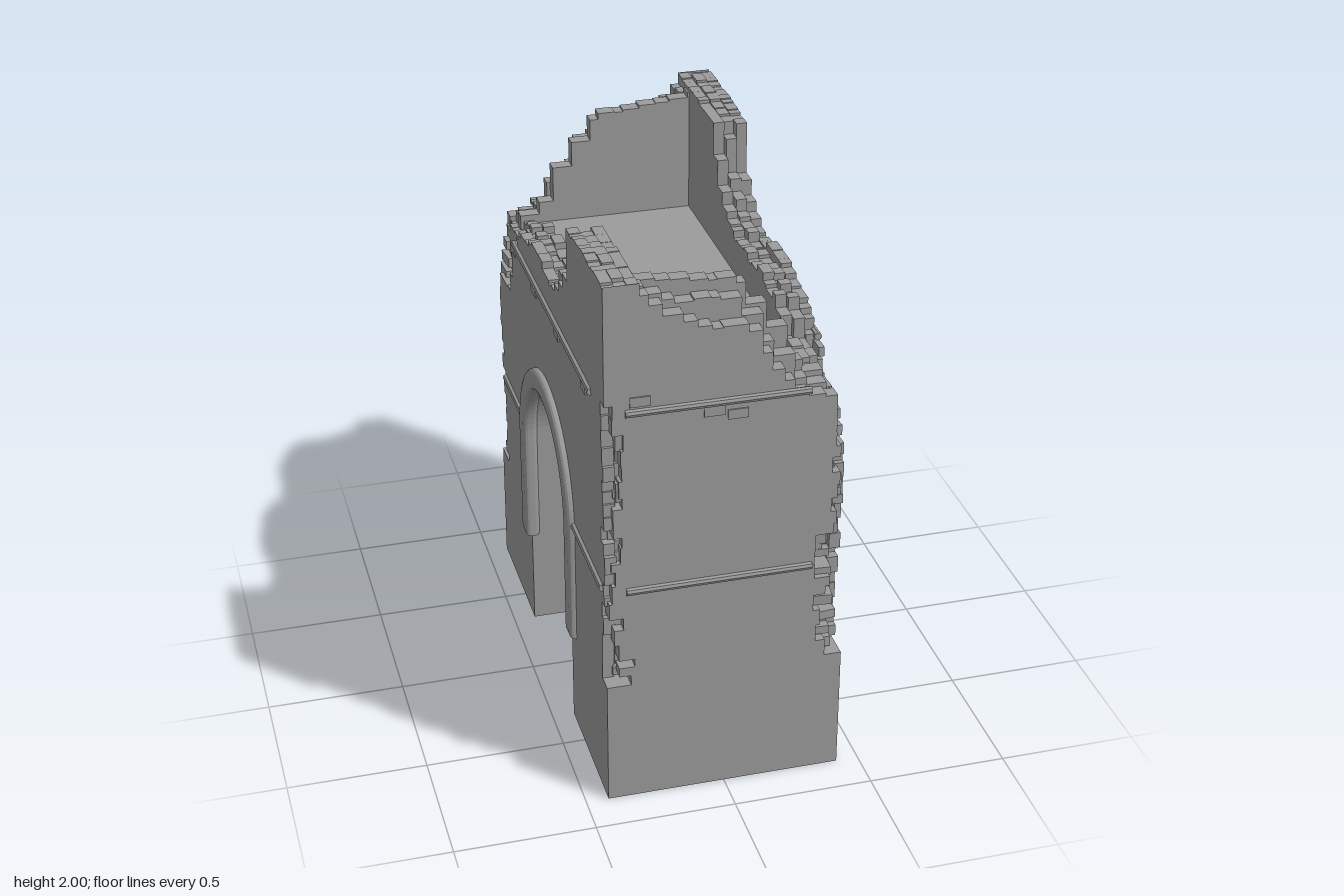
import * as THREE from 'three';

const W = 0.42, L = 0.855;            // half width (x) and half length (z)
const IW = 0.3, IL = 0.7;             // inner faces of the walls
const R = 0.33, SPRING = 0.82;        // arch opening
const BASE = 0.47, FLOOR = 1.51;
const mat = new THREE.MeshStandardMaterial({ color: 0x9b9b9b, side: THREE.DoubleSide, flatShading: true });

let seed = 7;
const rnd = (a = 0, b = 1) => {
  seed = (seed * 16807) % 2147483647;
  return a + (b - a) * (seed / 2147483647);
};

// piecewise linear profile through [u, y] points
function profile(pts) {
  return (u) => {
    for (let i = 1; i < pts.length; i++) {
      const [a, ya] = pts[i - 1], [b, yb] = pts[i];
      if (u <= b) return ya + (yb - ya) * Math.max(0, (u - a) / (b - a));
    }
    return pts[pts.length - 1][1];
  };
}

function add(parent, name, geo) {
  const m = new THREE.Mesh(geo, mat);
  m.name = name;
  parent.add(m);
}

const extrude = (shape, depth, bevel = 0) => new THREE.ExtrudeGeometry(shape, {
  depth, curveSegments: 20, bevelEnabled: bevel > 0, bevelSize: bevel, bevelThickness: bevel, bevelSegments: 3,
});

// missing brick depth at the collapsed corner and at the standing corner
const ruinedBite = (y) => (y < 0.93 ? rnd(0.05, 0.12) : rnd(0.015, 0.07));
const soundBite = (y) => (y > 1.52 ? 0 : y < 0.62 ? rnd(0.04, 0.11) : rnd(0.01, 0.065));

// stepped vertical edge, course by course: list of [bite, y]
function raggedEdge(top, bite) {
  const pts = [];
  for (let y = BASE; y < top - 0.001;) {
    const next = y > 1.52 ? top : Math.min(top, y + rnd(0.03, 0.07));
    const b = bite(y);
    pts.push([b, y], [b, next]);
    y = next;
  }
  return pts;
}

// outline of one wall layer with broken ends and crest, optionally over the arch
function wallShape(half, top, biteL, biteR, arch) {
  const pts = raggedEdge(top(-half), biteL).map(([b, y]) => [-half + b, y]);
  const right = raggedEdge(top(half), biteR).map(([b, y]) => [half - b, y]).reverse();
  const end = right[0][0];
  for (let u = pts[pts.length - 1][0]; u < end - 0.001;) {
    let next = u + rnd(0.03, 0.075);
    if (next > end - 0.02) next = end;
    const t = top((u + next) / 2);
    const y = t + (t > 1.9 ? rnd(-0.008, 0.008) : rnd(-0.025, 0.02));
    pts.push([u, y], [next, y]);
    u = next;
  }
  pts.push(...right);
  const s = new THREE.Shape();
  pts.forEach(([u, y], i) => (i ? s.lineTo(u, y) : s.moveTo(u, y)));
  if (arch) {
    s.lineTo(R, BASE);
    s.lineTo(R, SPRING);
    s.absarc(0, SPRING, R, 0, Math.PI, false);
    s.lineTo(-R, BASE);
  }
  return s;
}

// arch-shaped band from leg foot to leg foot
function archBand(outer, inner, foot) {
  const s = new THREE.Shape();
  s.moveTo(outer, foot);
  s.lineTo(outer, SPRING);
  s.absarc(0, SPRING, outer, 0, Math.PI, false);
  s.lineTo(-outer, foot);
  s.lineTo(-inner, foot);
  s.lineTo(-inner, SPRING);
  s.absarc(0, SPRING, inner, Math.PI, 0, true);
  s.lineTo(inner, foot);
  return s;
}

// rectangle outline from corner to corner
const rect = (Type, x0, y0, x1, y1) => new Type([[x0, y0], [x1, y0], [x1, y1], [x0, y1]]
  .map(([x, y]) => new THREE.Vector2(x, y)));

// turns an x-y outline into one facing +x (outline x becomes -z)
const faceSide = (geo, x) => geo.rotateY(Math.PI / 2).translate(x, 0, 0);

function createHalf() {
  const half = new THREE.Group();
  half.name = 'gateHalf';

  // hollow pier base, open below and above
  const pier = new THREE.BoxGeometry(2 * W, BASE, L - R);
  const idx = Array.from(pier.index.array);
  idx.splice(12, 12);
  pier.setIndex(idx);
  add(half, 'pierBase', pier.translate(0, BASE / 2, (L + R) / 2));

  // ledge on top of the pier base, under the broken corners
  const ledge = rect(THREE.Shape, -W, -L, W, -R);
  ledge.holes.push(rect(THREE.Path, -IW, -IL, IW, -R - 0.01));
  add(half, 'pierLedge', new THREE.ShapeGeometry(ledge).rotateX(-Math.PI / 2).translate(0, BASE, 0));

  // side wall, three layers from the face inwards; u = -z
  const sideRise = [[-0.46, 1.54], [-0.42, 1.62], [-0.3, 1.65], [0.17, 1.665], [0.23, 1.71],
    [0.33, 1.8], [0.36, 1.86], [0.375, 1.965], [0.6, 1.985], [L, 1.99]];
  const sideTops = [
    [[-L, 1.27], [-0.62, 1.3], [-0.55, 1.42], ...sideRise],
    [[-L, 1.46], [-0.65, 1.5], ...sideRise],
    [[-L, 1.52], [-0.6, 1.53], ...sideRise],
  ];
  sideTops.forEach((t, i) => {
    const s = wallShape(L, profile(t), ruinedBite, soundBite, true);
    const d = (W - IW) / 3;
    add(half, 'sideWallLayer', faceSide(extrude(s, d), W - d * (i + 1)));
  });

  // end wall, three layers; points are [x, outer crest, inner crest]
  const endTop = [[-W, 1.985, 1.985], [-0.28, 1.95, 1.96], [-0.22, 1.87, 1.945], [-0.08, 1.83, 1.925],
    [0.04, 1.8, 1.92], [0.1, 1.77, 1.87], [0.13, 1.67, 1.82], [0.2, 1.6, 1.7], [0.25, 1.54, 1.58],
    [0.3, 1.51, 1.53], [W, 1.46, 1.51]];
  const d = (L - IL) / 3;
  for (let i = 0; i < 3; i++) {
    const t = endTop.map(([u, a, b]) => [u, a + (b - a) * i / 2]);
    const s = wallShape(W, profile(t), soundBite, ruinedBite, false);
    add(half, 'endWallLayer', extrude(s, d).translate(0, 0, L - d * (i + 1)));
  }

  // rounded arch moulding on the face, and a rib with a short stub inside the passage
  add(half, 'archMoulding', faceSide(extrude(archBand(0.385, 0.338, 0.395), 0.02, 0.018), 0.407));
  add(half, 'passageRib', faceSide(extrude(archBand(0.34, 0.317, 0.38), 0.03), 0.145));
  add(half, 'passageStub', new THREE.BoxGeometry(0.13, 0.02, 0.02).translate(0.16, 0.84, -R + 0.003));

  // broken string courses: [along z?, from, to, height]
  const courses = [
    [true, -0.68, 0.5, 1.53], [true, 0.4, 0.74, 0.85], [true, -0.81, -0.4, 0.85],
    [false, -0.35, 0.28, 1.53], [false, -0.35, 0.3, 0.85],
  ];
  for (const [alongZ, a, b, y] of courses) {
    const g = new THREE.CylinderGeometry(0.014, 0.014, b - a, 8);
    if (alongZ) g.rotateX(Math.PI / 2).translate(W, y, (a + b) / 2);
    else g.rotateZ(Math.PI / 2).translate((a + b) / 2, y, L);
    add(half, 'stringCourse', g);
  }

  // loose bricks standing slightly proud of the faces
  for (const [z, w] of [[0.17, 0.08], [-0.19, 0.06], [-0.58, 0.06], [0.52, 0.07]]) {
    add(half, 'looseBrick', new THREE.BoxGeometry(0.02, 0.035, w).translate(W - 0.005, 1.5, z));
  }
  for (const [x, y] of [[-0.05, 1.5], [0.03, 1.48], [-0.3, 1.57]]) {
    add(half, 'looseBrick', new THREE.BoxGeometry(0.07, 0.035, 0.02).translate(x, y, L - 0.005));
  }

  // rubble bricks sticking out inside both damaged corners
  for (const side of [1, -1]) {
    for (let y = BASE + 0.03; y < 1.42; y += 0.06) {
      const g = new THREE.BoxGeometry(rnd(0.05, 0.1), rnd(0.025, 0.045), rnd(0.05, 0.1));
      const inset = side > 0 ? 0.055 : 0.065;
      g.rotateY(rnd(-0.15, 0.15));
      g.translate(side * (W - inset - rnd(0, 0.03)), y, L - inset - rnd(0, 0.03));
      add(half, 'cornerRubble', g);
    }
  }
  return half;
}

export function createModel() {
  seed = 7;
  const model = new THREE.Group();
  model.name = 'ruinedGate';

  // the gate is the same when turned half round
  const half = createHalf();
  const other = half.clone();
  other.rotation.y = Math.PI;
  model.add(half, other);

  // passage vault and upper floor between the walls
  add(model, 'passageVault', faceSide(extrude(archBand(R + 0.01, R, BASE), 2 * IW), -IW));
  add(model, 'upperFloor', new THREE.BoxGeometry(2 * IW, 0.02, 2 * IL).translate(0, FLOOR - 0.01, 0));
  return model;
}
